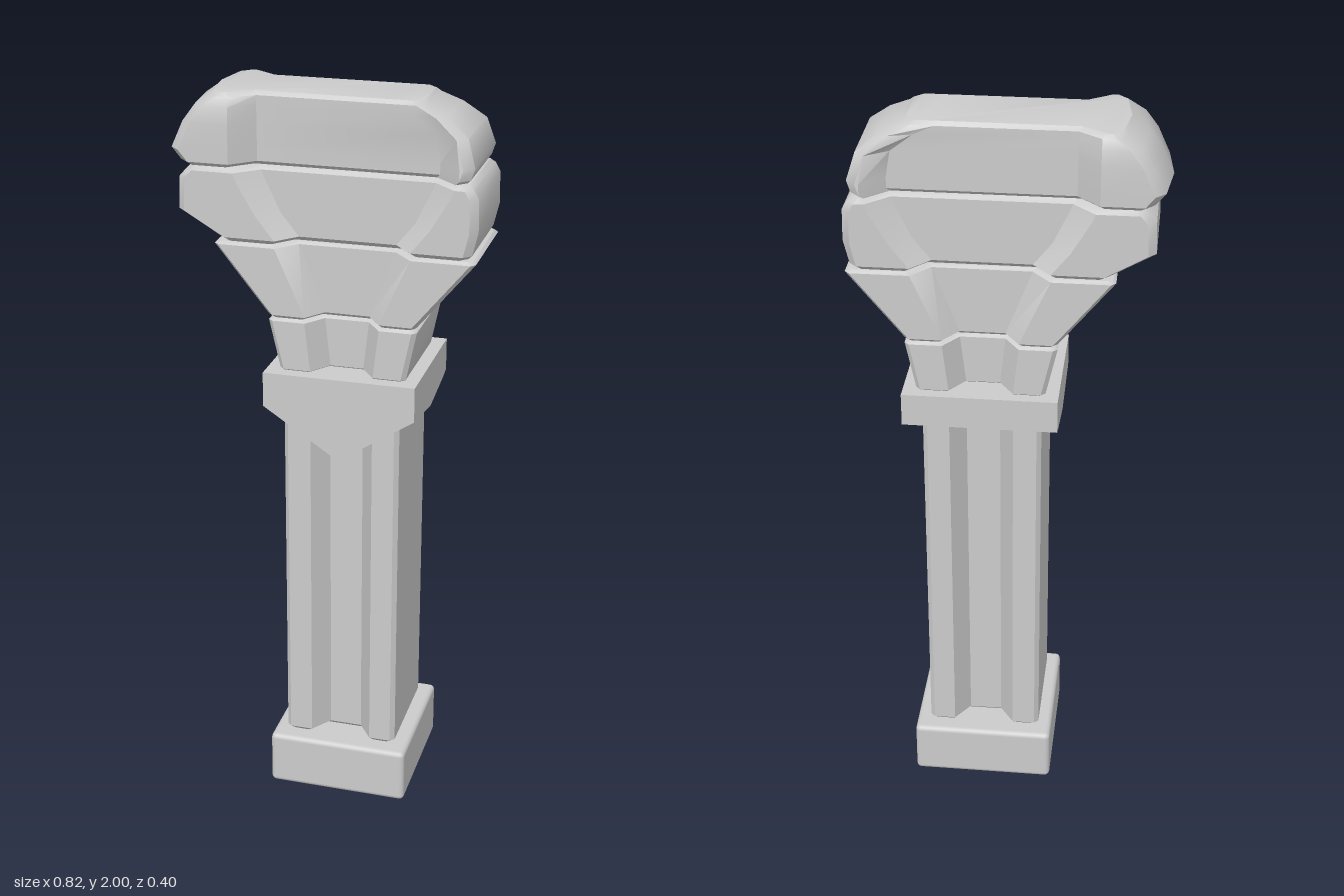
import * as THREE from 'three';
import { toCreasedNormals } from 'three/addons/utils/BufferGeometryUtils.js';
import { RoundedBoxGeometry } from 'three/addons/geometries/RoundedBoxGeometry.js';

const material = new THREE.MeshStandardMaterial({ color: 0xcccccc });
const CX = 0.06; // axis of the shaft
const FLOOR = 0.1; // half depth inside the front and back recesses

// Horizontal outline: a block with a sloped recess in front and back
function section(l, inset, c) {
  const xl = l.xl + inset, xr = l.xr - inset;
  const zl = l.zl - inset, zr = l.zr - inset, zi = Math.min(FLOOR, l.zr) - inset;
  const rl = Math.max(l.rl - inset, xl + c), rr = Math.min(l.rr + inset, xr - c);
  const half = [[xl, zl - c], [xl + c, zl], [rl, zl], [rl + l.w, zi],
    [rr - l.w, zi], [rr, zr], [xr - c, zr], [xr, zr - c]];
  const back = half.map(([x, z]) => [x, -z]).reverse();
  return [...half, ...back, [xl - l.nose, 0]];
}

// Stack of outlines joined into a closed stone with bevelled top and bottom rims
function stone(name, levels, bevel = 0.012, corner = 0.012) {
  const rings = [];
  levels.forEach((l, i) => {
    const first = i === 0, last = i === levels.length - 1;
    if (first) rings.push({ y: l.y, pts: section(l, bevel, corner) });
    rings.push({ y: l.y + (first ? bevel : last ? -bevel : 0), pts: section(l, 0, corner) });
    if (last) rings.push({ y: l.y, pts: section(l, bevel, corner) });
  });
  const n = rings[0].pts.length, pos = [], index = [];
  rings.forEach(r => r.pts.forEach(([x, z]) => pos.push(x, r.y, z)));
  for (let k = 0; k < rings.length - 1; k++) {
    for (let i = 0; i < n; i++) {
      const a = k * n + i, b = k * n + (i + 1) % n;
      index.push(a, b, b + n, a, b + n, a + n);
    }
  }
  const cap = (r, base, flip) => {
    const contour = r.pts.map(([x, z]) => new THREE.Vector2(x, -z));
    for (const [a, b, c] of THREE.ShapeUtils.triangulateShape(contour, [])) {
      index.push(base + a, base + (flip ? c : b), base + (flip ? b : c));
    }
  };
  cap(rings[0], 0, true);
  cap(rings[rings.length - 1], (rings.length - 1) * n, false);
  const geo = new THREE.BufferGeometry();
  geo.setAttribute('position', new THREE.Float32BufferAttribute(pos, 3));
  geo.setIndex(index);
  return named(name, toCreasedNormals(geo, 0.65));
}

function named(name, geo) {
  const mesh = new THREE.Mesh(geo, material);
  mesh.name = name;
  return mesh;
}

// One outline level: height, side extents, recess half width
const level = (y, xl, xr, recess, extra = {}) => ({
  y, xl, xr, rl: CX - recess, rr: CX + recess, zl: 0.157, zr: 0.157, w: 0.04, nose: 0, ...extra,
});

const polygon = pts => new THREE.Shape(pts.map(([x, y]) => new THREE.Vector2(x, y)));

export function createModel() {
  const group = new THREE.Group();
  group.name = 'pillar';

  // Square foot
  const base = named('base', new RoundedBoxGeometry(0.394, 0.157, 0.398, 2, 0.014));
  base.position.set(CX, 0.0785, 0);
  group.add(base);

  // Shaft with a channel in front and back
  group.add(stone('shaft', [level(0.157, -0.1, 0.217, 0.085), level(1.23, -0.1, 0.217, 0.085)]));

  // Collar: lower edge dips in the middle of each side
  const band = new THREE.ExtrudeGeometry(
    polygon([[0.19, 1.275], [-0.187, 1.275], [-0.187, 1.185], [-0.15, 1.175],
      [0, 1.15], [0.15, 1.175], [0.19, 1.18]]),
    { depth: 0.412, bevelEnabled: false });
  band.rotateY(-Math.PI / 2);
  band.translate(0.267, 0, 0);
  group.add(named('collar', band));

  // Pointed plate hanging from the collar front
  const plate = new THREE.ExtrudeGeometry(
    polygon([[-0.145, 1.275], [-0.145, 1.18], [CX, 1.045], [0.267, 1.18], [0.267, 1.275]]),
    { depth: 0.037, bevelEnabled: false });
  plate.translate(0, 0, 0.155);
  group.add(named('collarPoint', plate));

  // Flaring head stones, bottom to top
  group.add(stone('neckStone', [
    level(1.27, -0.11, 0.232, 0.085),
    level(1.418, -0.14, 0.259, 0.1),
  ], 0.008));
  group.add(stone('flaredStone', [
    level(1.418, -0.14, 0.259, 0.1),
    level(1.615, -0.285, 0.407, 0.18, { w: 0.05 }),
  ], 0.008));
  group.add(stone('upperStone', [
    level(1.615, -0.275, 0.395, 0.18, { w: 0.05 }),
    level(1.69, -0.383, 0.41, 0.23, { w: 0.05 }),
    level(1.775, -0.38, 0.408, 0.28, { w: 0.06 }),
    level(1.81, -0.36, 0.395, 0.29, { w: 0.06 }),
  ], 0.012, 0.02));
  const top = { w: 0.06, nose: 0.015 };
  group.add(stone('topStone', [
    level(1.81, -0.375, 0.385, 0.3, top),
    level(1.85, -0.4, 0.395, 0.3, { ...top, zr: 0.155 }),
    level(1.92, -0.368, 0.373, 0.3, { ...top, zr: 0.14 }),
    level(1.965, -0.335, 0.315, 0.3, { ...top, zl: 0.152, zr: 0.115 }),
    level(2.0, -0.3, 0.26, 0.3, { ...top, zl: 0.142, zr: 0.1 }),
  ], 0.01, 0.025));

  return group;
}
